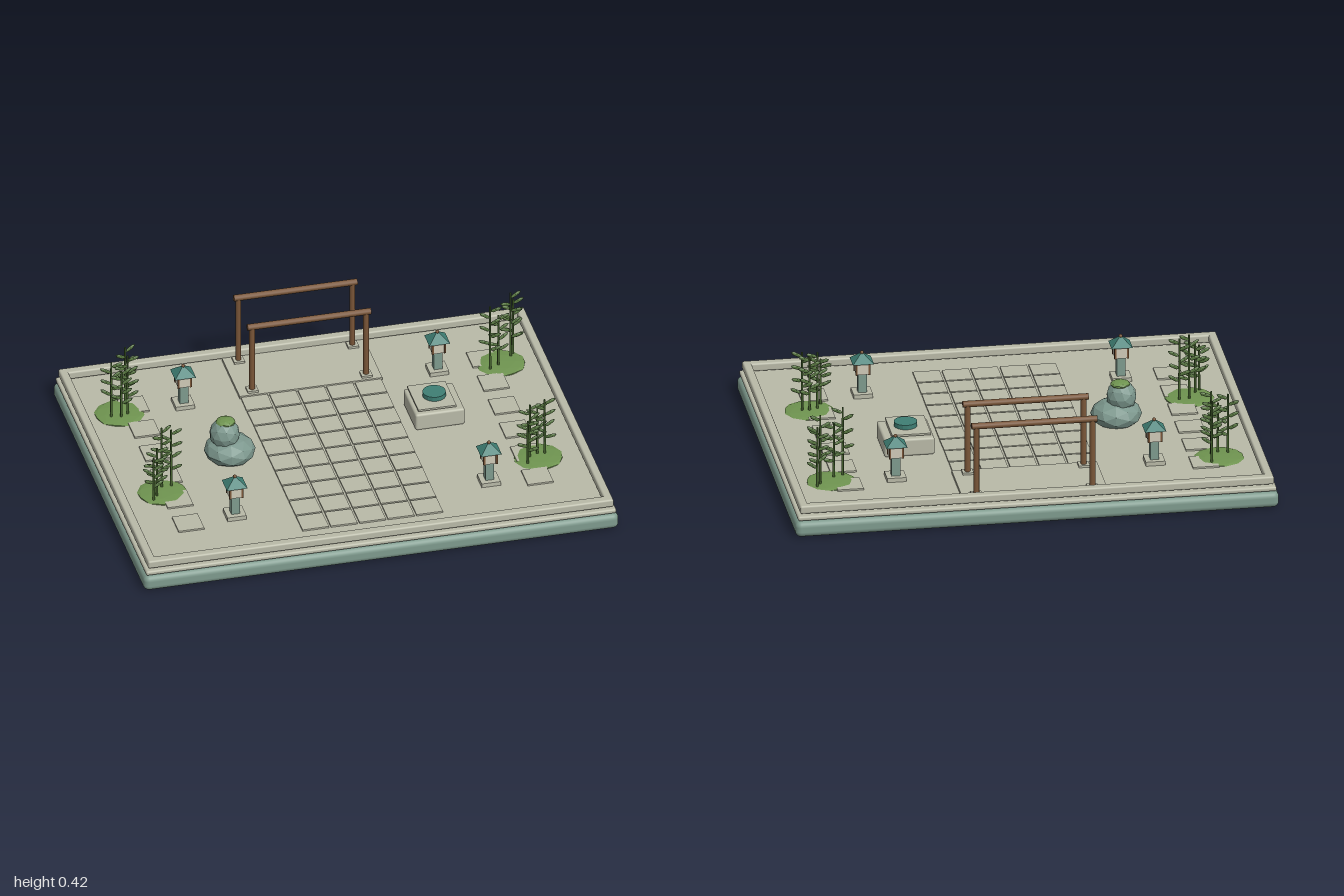
import * as THREE from 'three';
import { RoundedBoxGeometry } from 'three/addons/geometries/RoundedBoxGeometry.js';

export function createModel() {
  const root = new THREE.Group();
  root.name = 'courtyardGarden';

  const mat = (name, color, opts = {}) => {
    const m = new THREE.MeshStandardMaterial({ color, ...opts });
    m.name = name;
    return m;
  };
  const stone = mat('paleStone', 0xb9baa8);
  const base = mat('greenStone', 0x7f9b8e);
  const rock = mat('rockGrey', 0x7c978d, { flatShading: true });
  const teal = mat('tealGlaze', 0x3f7f74, { flatShading: true });
  const wood = mat('wood', 0x7a5638);
  const paper = mat('lanternPaper', 0xd0cbb8);
  const moss = mat('moss', 0x6f9450, { flatShading: true });
  const culmGreen = mat('bambooStem', 0x46632f);
  const leafGreen = mat('bambooLeaf', 0x56753f, { flatShading: true });

  const FLOOR = 0.092;
  let seed = 7;
  const rand = () => (seed = (seed * 16807) % 2147483647) / 2147483647;

  const add = (parent, name, geo, material, x, y, z) => {
    const m = new THREE.Mesh(geo, material);
    m.name = name;
    m.position.set(x, y, z);
    parent.add(m);
    return m;
  };
  const group = (name, x = 0, y = 0, z = 0) => {
    const g = new THREE.Group();
    g.name = name;
    g.position.set(x, y, z);
    root.add(g);
    return g;
  };
  const box = (w, h, d) => new THREE.BoxGeometry(w, h, d);
  const rbox = (w, h, d, r) => new RoundedBoxGeometry(w, h, d, 3, r);

  // Stepped base and floor slab
  add(root, 'base', rbox(2, 0.068, 1.55, 0.024), base, 0, 0.034, 0);
  add(root, 'floorSlab', rbox(1.98, 0.02, 1.535, 0.008), stone, 0, 0.082, 0);
  add(root, 'slabSeat', box(1.94, 0.012, 1.49), base, 0, 0.07, 0);

  // Raised rim around the edge, set just above the slab
  const rim = group('rim');
  for (const s of [-1, 1]) {
    add(rim, 'longRim', rbox(1.96, 0.035, 0.04, 0.008), stone, 0, 0.1175, s * 0.74);
    add(rim, 'sideRim', rbox(0.035, 0.035, 1.52, 0.008), stone, s * 0.9625, 0.1175, 0);
  }

  // Central paving, five by nine
  const paving = group('paving');
  const tile = box(0.111, 0.008, 0.109);
  for (let i = 0; i < 5; i++) {
    for (let j = 0; j < 9; j++) {
      const t = add(paving, 'tile', tile, stone,
        (i - 2) * 0.12, FLOOR + 0.003, -0.375 + j * 0.1175);
      t.rotation.y = (rand() - 0.5) * 0.03;
    }
  }

  // Side paths of stepping stones
  const path = group('steppingStones');
  for (const s of [-1, 1]) {
    for (let i = 0; i < 6; i++) {
      add(path, 'steppingStone', box(0.108, 0.008, 0.115), stone,
        s * 0.735, FLOOR + 0.003, -0.475 + i * 0.185);
    }
  }

  // Platform with two timber frames
  add(root, 'platform', box(0.6, 0.014, 0.3), stone, 0, FLOOR + 0.006, -0.57);
  for (const z of [-0.685, -0.455]) {
    const frame = group('timberFrame', 0, 0, z);
    for (const s of [-1, 1]) {
      add(frame, 'footing', box(0.045, 0.01, 0.045), stone, s * 0.24, 0.109, 0);
      add(frame, 'post', new THREE.CylinderGeometry(0.012, 0.012, 0.305, 12), wood, s * 0.24, 0.2575, 0);
    }
    add(frame, 'beam', new THREE.CylinderGeometry(0.0135, 0.0135, 0.52, 12), wood, 0, 0.411, 0)
      .rotation.z = Math.PI / 2;
  }

  // Four lanterns
  const roofGeo = new THREE.CylinderGeometry(0.008, 0.062, 0.035, 4).rotateY(Math.PI / 4);
  for (const x of [-0.535, 0.535]) {
    for (const z of [-0.435, 0.435]) {
      const l = group('lantern', x, 0, z);
      add(l, 'lanternFoot', box(0.08, 0.02, 0.08), stone, 0, FLOOR + 0.008, 0);
      add(l, 'lanternPost', box(0.036, 0.085, 0.036), base, 0, 0.15, 0);
      add(l, 'lanternBox', box(0.054, 0.05, 0.054), paper, 0, 0.217, 0);
      for (const a of [-1, 1]) for (const b of [-1, 1]) {
        add(l, 'cornerPost', box(0.008, 0.052, 0.008), wood, a * 0.026, 0.217, b * 0.026);
      }
      add(l, 'lanternRoof', roofGeo, teal, 0, 0.2605, 0);
      add(l, 'finial', new THREE.SphereGeometry(0.008, 8, 6), wood, 0, 0.281, 0);
    }
  }

  // Stacked rocks with a mossy cap
  const rocks = group('rocks');
  const blob = (name, m, x, y, z, rx, ry, rz, turn) => {
    const b = add(rocks, name, new THREE.IcosahedronGeometry(1, 1).rotateY(turn), m, x, y, z);
    b.scale.set(rx, ry, rz);
  };
  blob('lowerRock', rock, -0.447, 0.132, -0.002, 0.106, 0.062, 0.104, 0.4);
  blob('upperRock', rock, -0.468, 0.208, -0.006, 0.063, 0.067, 0.064, 1.1);
  blob('mossCap', moss, -0.463, 0.262, -0.008, 0.041, 0.016, 0.04, 0.2);

  // Water basin on a stone block
  const basin = group('basin', 0.442, 0, -0.115);
  add(basin, 'basinBlock', rbox(0.208, 0.076, 0.21, 0.01), stone, 0, 0.13, 0);
  add(basin, 'basinNeck', box(0.14, 0.012, 0.14), stone, 0, 0.171, 0);
  add(basin, 'basinShelf', box(0.16, 0.008, 0.19), stone, -0.01, 0.181, 0);
  add(basin, 'basinBowl', new THREE.CylinderGeometry(0.048, 0.048, 0.021, 16), teal, 0, 0.194, 0);

  // Bamboo clumps on moss: centre x, z, then stems as [dx, dz, top]
  const clumps = [
    [-0.805, -0.43, [[-0.04, 0.025, 0.36], [0, 0.035, 0.32], [0.03, 0.02, 0.38], [0.04, -0.06, 0.37]]],
    [0.8, -0.425, [[-0.055, 0.04, 0.4], [-0.015, 0.02, 0.34], [0.05, -0.035, 0.405], [0.065, -0.055, 0.36]]],
    [-0.78, 0.195, [[0.005, -0.03, 0.385], [0.045, -0.03, 0.37], [-0.03, 0.03, 0.33], [-0.05, 0.055, 0.3]]],
    [0.775, 0.305, [[0.03, -0.01, 0.36], [-0.035, 0, 0.35], [-0.055, 0.045, 0.3], [0.0, -0.015, 0.34]]],
  ];
  const leafGeo = new THREE.IcosahedronGeometry(1, 0).scale(0.028, 0.009, 0.006).translate(0.026, 0, 0);
  for (const [cx, cz, stems] of clumps) {
    const c = group('bambooClump', cx, 0, cz);
    const patch = add(c, 'mossPatch', new THREE.IcosahedronGeometry(1, 1).rotateY(cx * 5), moss, 0, FLOOR + 0.002, 0);
    patch.scale.set(0.104, 0.01, 0.102);
    for (const [dx, dz, top] of stems) {
      const h = top - FLOOR;
      add(c, 'stem', new THREE.CylinderGeometry(0.004, 0.0055, h, 7), culmGreen, dx, FLOOR + h / 2, dz);
      // Alternating leaves along the upper stem
      for (let i = 0; i < 7; i++) {
        const y = FLOOR + h * (0.32 + 0.1 * i);
        const leaf = add(c, 'leaf', leafGeo, leafGreen, dx, y, dz);
        leaf.rotation.set(0, (i % 2 ? Math.PI : 0) + (rand() - 0.5) * 0.7, 0.3 + rand() * 0.25);
      }
    }
  }
  return root;
}
